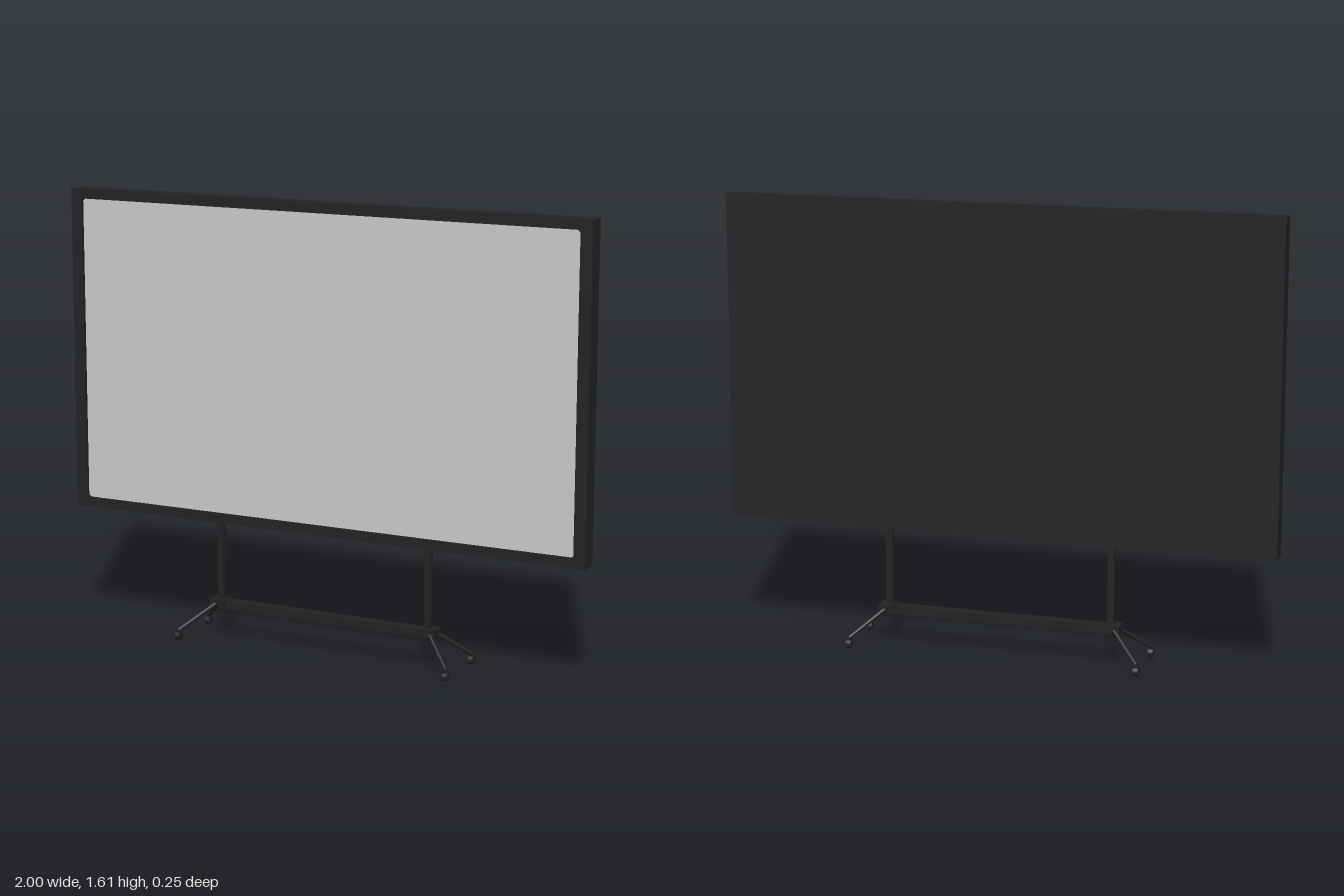
import * as THREE from 'three';

export function createModel() {
  const group = new THREE.Group();
  const black = new THREE.MeshStandardMaterial({ color: 0x222222 });
  black.name = 'matte black';
  const grey = new THREE.MeshStandardMaterial({ color: 0xc9c9c9 });
  grey.name = 'screen grey';

  const add = (name, geometry, x, y, z, material = black) => {
    const mesh = new THREE.Mesh(geometry, material);
    mesh.name = name;
    mesh.position.set(x, y, z);
    group.add(mesh);
    return mesh;
  };
  const box = (name, w, h, d, x, y, z, material) =>
    add(name, new THREE.BoxGeometry(w, h, d), x, y, z, material);

  // Board: solid back with a raised bezel around a recessed screen
  const midY = 1.022, halfH = 0.587, depth = 0.068, recess = 0.014;
  box('backPanel', 2, halfH * 2, depth - recess, 0, midY, -recess / 2);

  const bezel = new THREE.Shape();
  bezel.moveTo(-1, -halfH).lineTo(1, -halfH).lineTo(1, halfH).lineTo(-1, halfH).closePath();
  const ix = 0.957, iy = 0.552, c = 0.009; // opening with clipped corners
  const hole = new THREE.Path([
    [-ix + c, -iy], [-ix, -iy + c], [-ix, iy - c], [-ix + c, iy],
    [ix - c, iy], [ix, iy - c], [ix, -iy + c], [ix - c, -iy],
  ].map(([x, y]) => new THREE.Vector2(x, y)));
  bezel.holes.push(hole);
  add('bezel', new THREE.ExtrudeGeometry(bezel, { depth: recess, bevelEnabled: false }),
    0, midY, depth / 2 - recess);
  box('screen', ix * 2, iy * 2, 0.004, 0, midY, depth / 2 - recess + 0.001, grey);

  // Stand: crossbar, two posts and end brackets
  box('crossbar', 0.84, 0.03, 0.04, 0, 0.128, 0);
  for (const sx of [-1, 1]) {
    box('post', 0.024, 0.31, 0.02, sx * 0.41, 0.285, 0);
    box('endBracket', 0.06, 0.022, 0.056, sx * 0.417, 0.135, 0);

    // Splayed legs with casters, front and back
    for (const sz of [-1, 1]) {
      const start = new THREE.Vector3(sx * 0.418, 0.134, sz * 0.015);
      const end = new THREE.Vector3(sx * 0.53, 0.038, sz * 0.11);
      const leg = add('leg', new THREE.CylinderGeometry(0.008, 0.008, start.distanceTo(end), 12), 0, 0, 0);
      leg.position.copy(start).add(end).multiplyScalar(0.5);
      leg.quaternion.setFromUnitVectors(new THREE.Vector3(0, 1, 0), start.clone().sub(end).normalize());
      add('casterStem', new THREE.CylinderGeometry(0.007, 0.007, 0.022, 12), end.x, 0.031, end.z);
      const wheel = add('casterWheel', new THREE.CylinderGeometry(0.016, 0.016, 0.018, 20), end.x, 0.016, end.z);
      wheel.rotation.z = Math.PI / 2;
      wheel.scale.x = 1;
    }
  }
  return group;
}
